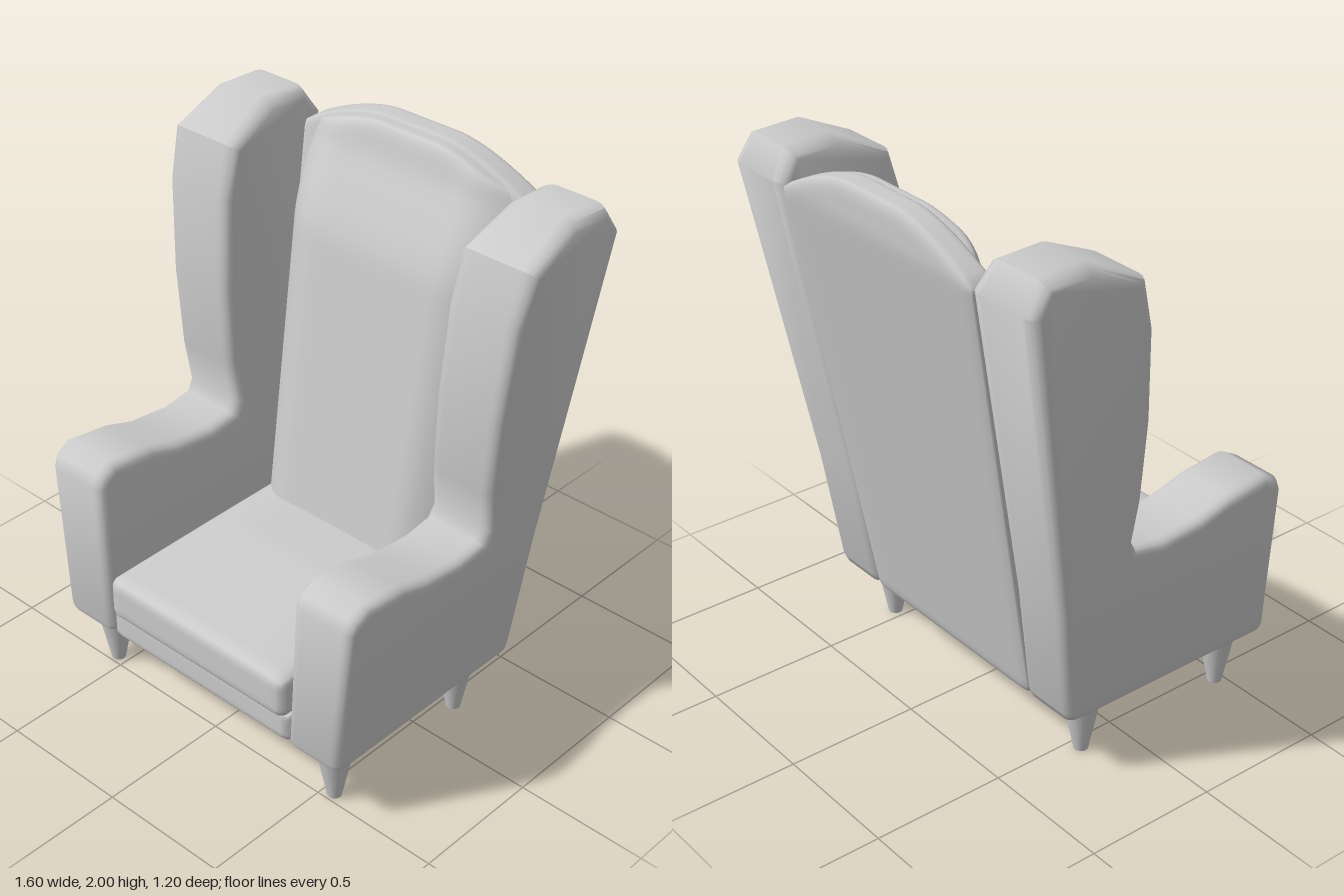
import * as THREE from 'three';
import { mergeVertices, toCreasedNormals } from 'three/addons/utils/BufferGeometryUtils.js';

const { clamp, smoothstep } = THREE.MathUtils;
const material = new THREE.MeshStandardMaterial({ color: 0xcccccc });

// Lean of the chair's back plane and the flare of the space between the sides
const backZ = (y) => Math.max(-0.6, -0.32 - 0.171 * (y - 0.23));
const innerX = (y) => 0.43 + 0.043 * (y - 0.23);
const outerX = (y) => 0.665 + 0.082 * (y - 0.23);
// Arched top line, u runs from -1 to 1 across the back
const archY = (u) => 2 - 0.13 * Math.pow(Math.max(0, (Math.abs(u) - 0.25) / 0.75), 1.6);

function warp(geometry, rule) {
  const p = geometry.attributes.position;
  const v = new THREE.Vector3();
  for (let i = 0; i < p.count; i++) {
    rule(v.fromBufferAttribute(p, i));
    p.setXYZ(i, v.x, v.y, v.z);
  }
  return geometry;
}

// Finely divided box with rounded edges, reshaped by a rule, with smooth normals
function pillow(w, h, d, r, segments, rule) {
  let g = new THREE.BoxGeometry(w, h, d, ...segments);
  g.deleteAttribute('normal');
  g.deleteAttribute('uv');
  g = mergeVertices(g);
  const core = new THREE.Vector3(w / 2 - r, h / 2 - r, d / 2 - r);
  const low = core.clone().negate();
  const inner = new THREE.Vector3();
  warp(g, (v) => {
    inner.copy(v).clamp(low, core);
    v.sub(inner).setLength(r).add(inner);
    rule(v);
  });
  g.computeVertexNormals();
  return g;
}

// Arm and wing in one piece: side profile as [z, y]
const sideProfile = [
  [0.55, 0.225], [-0.29, 0.225], [-0.315, 0.237], [-0.33, 0.27], [-0.39, 0.7], [-0.6, 1.87],
  [-0.54, 1.97], [-0.36, 1.98], [-0.15, 1.88], [-0.1, 1.69], [-0.075, 1.35], [-0.08, 1.05],
  [-0.1, 0.89], [-0.08, 0.855], [0.03, 0.84], [0.2, 0.857], [0.32, 0.895], [0.5, 0.918],
  [0.56, 0.885], [0.58, 0.84], [0.585, 0.26], [0.575, 0.235],
];

function sideGeometry(side) {
  const shape = new THREE.Shape(sideProfile.map(([z, y]) => new THREE.Vector2(-z, y)));
  const g = new THREE.ExtrudeGeometry(shape, {
    depth: 0.16, bevelThickness: 0.04, bevelSize: 0.035, bevelOffset: -0.035, bevelSegments: 4,
  });
  g.rotateY(Math.PI / 2);
  warp(g, (v) => {
    const t = (v.x + 0.04) / 0.24 - 0.5;
    const a = innerX(v.y), b = outerX(v.y);
    const narrow = 1 - 0.25 * clamp((v.y - 1.89) / 0.09, 0, 1) ** 2;
    v.x = side * (a + b) / 2 + t * (b - a) * narrow;
  });
  return toCreasedNormals(g, 0.75);
}

export function createModel() {
  const group = new THREE.Group();
  const add = (name, geometry) => {
    const mesh = new THREE.Mesh(geometry, material);
    mesh.name = name;
    group.add(mesh);
    return mesh;
  };

  // Sides
  add('leftArmAndWing', sideGeometry(1));
  add('rightArmAndWing', sideGeometry(-1));

  // Leaning back panel with an arched top
  add('backPanel', pillow(1, 1.77, 0.1, 0.02, [24, 60, 8], (v) => {
    const u = v.x * 2;
    v.y = 0.23 + (v.y / 1.77 + 0.5) * (archY(u) - 0.23);
    v.x = u * (innerX(v.y) + 0.005);
    v.z += backZ(v.y) + 0.05;
  }));

  // Padded back cushion, falling away at the sides and the top
  add('backCushion', pillow(0.9, 1.58, 0.22, 0.04, [32, 56, 12], (v) => {
    const u = v.x / 0.45;
    v.y = 0.4 + (v.y / 1.58 + 0.5) * (archY(u) - 0.41);
    const sides = 0.13 * Math.max(0, (Math.abs(u) - 0.55) / 0.45) ** 2;
    const top = 0.11 * smoothstep(v.y, 1.55, 2.05);
    v.x = u * (innerX(v.y) - 0.005);
    v.z = backZ(v.y) + 0.03 + (v.z / 0.22 + 0.5) * (0.215 - Math.min(0.17, sides + top));
  }));

  // Seat cushion, gently crowned toward the back
  add('seatCushion', pillow(0.846, 0.17, 0.9, 0.035, [28, 10, 30], (v) => {
    const u = v.x / 0.423;
    const back = clamp((0.45 - v.z) / 0.5, 0, 1);
    const upper = clamp(v.y / 0.17 + 0.5, 0, 1);
    v.y += 0.415 + upper * 0.045 * (1 - u ** 4) * back;
    v.z += 0.147;
  }));

  // Base frame under the seat
  add('baseFrame', pillow(0.86, 0.12, 0.88, 0.02, [24, 8, 24], (v) => {
    v.y += 0.288;
    v.z += 0.135;
  }));

  // Tapered legs
  for (const [row, z] of [['front', 0.465], ['rear', -0.17]]) {
    for (const [hand, x] of [['Left', 0.545], ['Right', -0.545]]) {
      const leg = add(`${row}${hand}Leg`, new THREE.CylinderGeometry(0.073, 0.026, 0.24, 20));
      leg.position.set(x, 0.12, z);
    }
  }
  return group;
}
